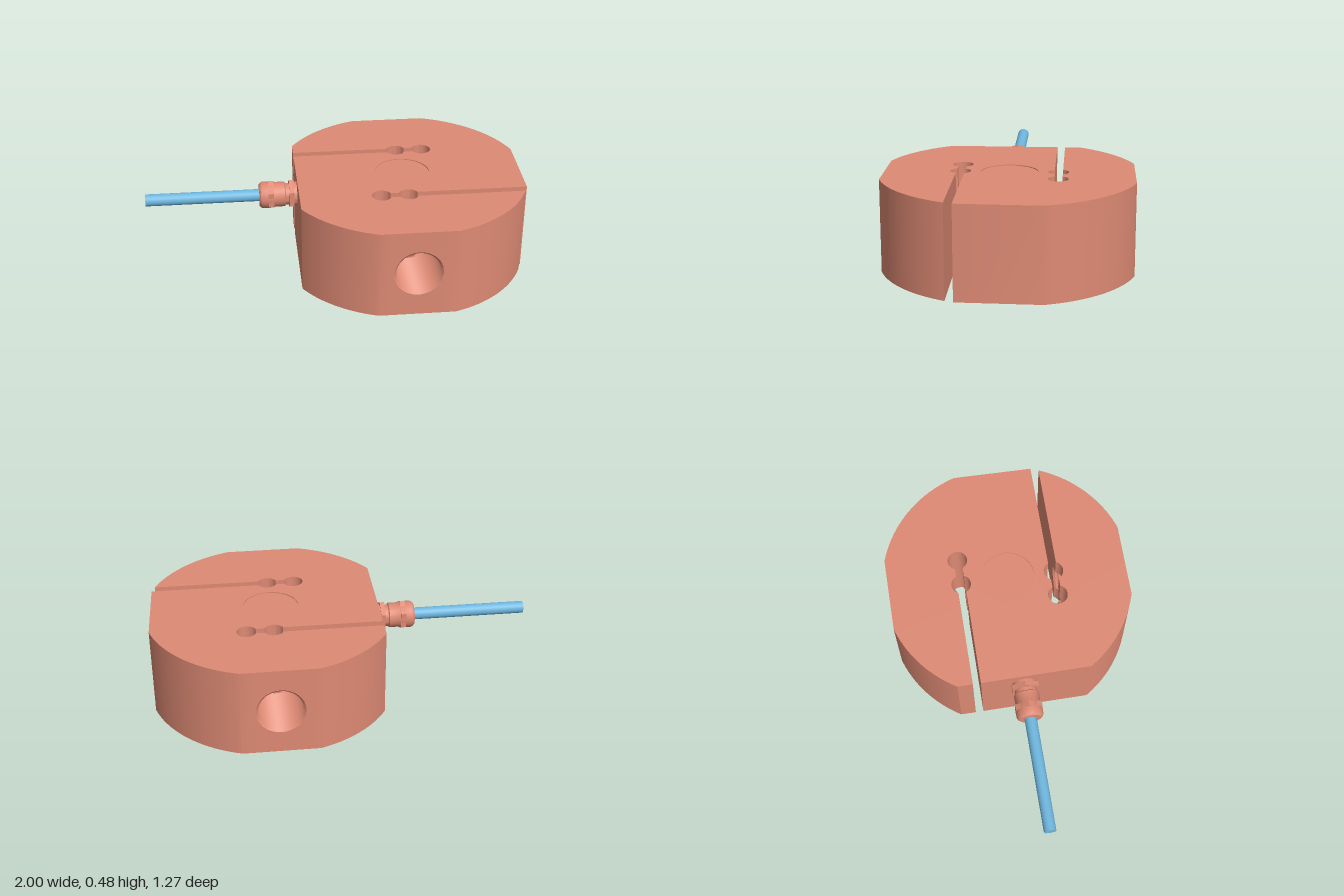
import * as THREE from 'three';
import { toCreasedNormals, mergeVertices } from 'three/addons/utils/BufferGeometryUtils.js';

const H = 0.48, CX = 0.365;             // block height and centre in x
const R = 0.665, FLAT = 0.635;          // round outline and front/back flats
const SLOT = 0.249, HALF = 0.021;       // slot centre line and half width
const KEY = 0.052, KEY2 = 0.14;         // relief hole radius and spacing
const DRILL = 0.125, DY = 0.242;        // threaded bore radius and height
const GY = 0.378;                       // cable axis height

const copper = new THREE.MeshStandardMaterial({ color: 0xde8a74 });
const copperTwoSided = new THREE.MeshStandardMaterial({ color: 0xde8a74, side: THREE.DoubleSide });
const blue = new THREE.MeshStandardMaterial({ color: 0x6fb8e0 });

// Half of the block outline, counter-clockwise, ending with the slot and its relief holes
function halfOutline(startX, endX) {
  const pts = [];
  const add = (x, y) => pts.push(new THREE.Vector2(x, y));
  const arc = (cx, cy, r, a0, a1, n) => {
    for (let i = 0; i <= n; i++) {
      const a = a0 + (a1 - a0) * i / n;
      add(cx + r * Math.cos(a), cy + r * Math.sin(a));
    }
  };
  const top = SLOT + HALF, low = SLOT - HALF;
  const edge = y => -Math.min(endX, Math.sqrt(R * R - y * y));
  const flatA = Math.asin(FLAT / R);
  arc(0, 0, R, Math.acos(startX / R), flatA, 20);
  // flat face, sampled closely across the bore
  for (let i = 0; i <= 32; i++) add(DRILL * Math.cos(Math.PI * i / 32), FLAT);
  const endY = Math.max(top, Math.sqrt(R * R - endX * endX));
  arc(0, 0, R, Math.PI - flatA, Math.PI - Math.asin(endY / R), 20);
  if (endY > top) add(edge(top), top);
  for (let i = 0; i < 10; i++) add(-DRILL * Math.cos(1.17 * i / 10), top);
  const a = Math.asin(HALF / KEY);
  arc(0, SLOT, KEY, Math.PI - a, a, 16);
  arc(KEY2, SLOT, KEY, Math.PI - a, a - Math.PI, 36);
  arc(0, SLOT, KEY, -a, a - Math.PI, 16);
  add(edge(low), low);
  return pts;
}

// Upright walls along the outline, left open where the bore breaks through
function wallGeometry(outline) {
  const pos = [];
  const gap = p => Math.sqrt(Math.max(0, DRILL * DRILL - p.x * p.x));
  const quad = (p, q, p0, q0, p1, q1) => {
    pos.push(p.x, p0, -p.y, q.x, q0, -q.y, q.x, q1, -q.y);
    pos.push(p.x, p0, -p.y, q.x, q1, -q.y, p.x, p1, -p.y);
  };
  outline.forEach((p, i) => {
    const q = outline[(i + 1) % outline.length];
    const open = [p, q].every(v => Math.abs(v.y) > SLOT - 1e-4 && Math.abs(v.x) < DRILL + 1e-4);
    if (open) {
      quad(p, q, 0, 0, DY - gap(p), DY - gap(q));
      quad(p, q, DY + gap(p), DY + gap(q), H, H);
    } else quad(p, q, 0, 0, H, H);
  });
  const g = new THREE.BufferGeometry();
  g.setAttribute('position', new THREE.Float32BufferAttribute(pos, 3));
  return toCreasedNormals(g, 0.4);
}

// Threaded bore, cut off where it meets the slot and relief holes
function boreGeometry() {
  const profile = [], turns = 17, z0 = SLOT;
  for (let i = 0; i <= turns * 2; i++) {
    profile.push(new THREE.Vector2(i % 2 ? DRILL - 0.011 : DRILL, z0 + (FLAT - z0) * i / (turns * 2)));
  }
  const g = new THREE.LatheGeometry(profile, 48).rotateX(Math.PI / 2);
  const p = g.attributes.position;
  for (let i = 0; i < p.count; i++) {
    let end = SLOT + HALF;
    for (const c of [0, -KEY2]) {
      const d = p.getX(i) - c;
      if (Math.abs(d) < KEY) end = Math.max(end, SLOT + Math.sqrt(KEY * KEY - d * d));
    }
    p.setZ(i, Math.max(p.getZ(i), end));
  }
  return toCreasedNormals(g, 0.5);
}

export function createModel() {
  const model = new THREE.Group();
  model.name = 'loadCell';
  const add = (parent, name, geo, mat) => {
    const m = new THREE.Mesh(geo, mat);
    m.name = name;
    parent.add(m);
    return m;
  };

  // Block: two half outlines, the second turned half a circle
  const block = new THREE.Group();
  block.name = 'block';
  block.position.x = CX;
  model.add(block);
  const outline = [
    ...halfOutline(0.635, 0.565),
    ...halfOutline(0.565, 0.635).map(p => new THREE.Vector2(-p.x, -p.y)),
  ];
  add(block, 'blockWalls', wallGeometry(outline), copper);

  // Top and bottom faces, each with a shallow round recess
  const faceShape = new THREE.Shape(outline);
  const ring = new THREE.Path();
  ring.absarc(0, 0, 0.145, 0, Math.PI * 2, true);
  faceShape.holes.push(ring);
  for (const top of [true, false]) {
    const s = top ? 1 : -1, y = top ? H : 0, depth = 0.005;
    const face = new THREE.ShapeGeometry(faceShape, 32).rotateX(-Math.PI / 2);
    if (!top) {
      // the underside repeats the same outline with its corners reversed
      face.index.array.reverse();
      face.computeVertexNormals();
    }
    add(block, top ? 'topFace' : 'bottomFace', face, copper).position.y = y;
    add(block, 'recessFloor', new THREE.CircleGeometry(0.145, 64).rotateX(-s * Math.PI / 2), copper)
      .position.y = y - s * depth;
    add(block, 'recessRim', new THREE.CylinderGeometry(0.145, 0.145, depth, 64, 1, true), copperTwoSided)
      .position.y = y - s * depth / 2;
  }

  // Threaded bores in the front and back flats
  const bore = boreGeometry();
  for (const turn of [0, Math.PI]) {
    const m = add(block, turn ? 'backBore' : 'frontBore', bore, copperTwoSided);
    m.position.y = DY;
    m.rotation.y = turn;
  }

  // Cable gland: turned body with two hexagonal nuts
  const gland = new THREE.Group();
  gland.name = 'cableGland';
  gland.position.y = GY;
  model.add(gland);
  const profile = [
    [0.03, -0.4], [0.058, -0.4], [0.067, -0.392], [0.071, -0.38], [0.071, -0.325], [0.066, -0.315],
    [0.066, -0.265], [0.058, -0.26], [0.058, -0.24], [0.064, -0.238], [0.064, -0.2],
  ].map(([r, x]) => new THREE.Vector2(r, x));
  const body = new THREE.LatheGeometry(profile, 40).rotateZ(-Math.PI / 2);
  add(gland, 'glandBody', toCreasedNormals(body, 0.5), copper);
  for (const [x, w] of [[-0.338, 0.028], [-0.229, 0.024]]) {
    const nut = new THREE.CylinderGeometry(0.081, 0.081, w, 6).rotateY(Math.PI / 2).rotateZ(Math.PI / 2);
    add(gland, 'hexNut', toCreasedNormals(nut, 0.3), copper).position.x = x;
  }

  // Cable
  const cable = add(model, 'cable', new THREE.CylinderGeometry(0.032, 0.032, 0.62, 40).rotateZ(Math.PI / 2), blue);
  cable.position.set(-0.69, GY, 0);
  return model;
}
